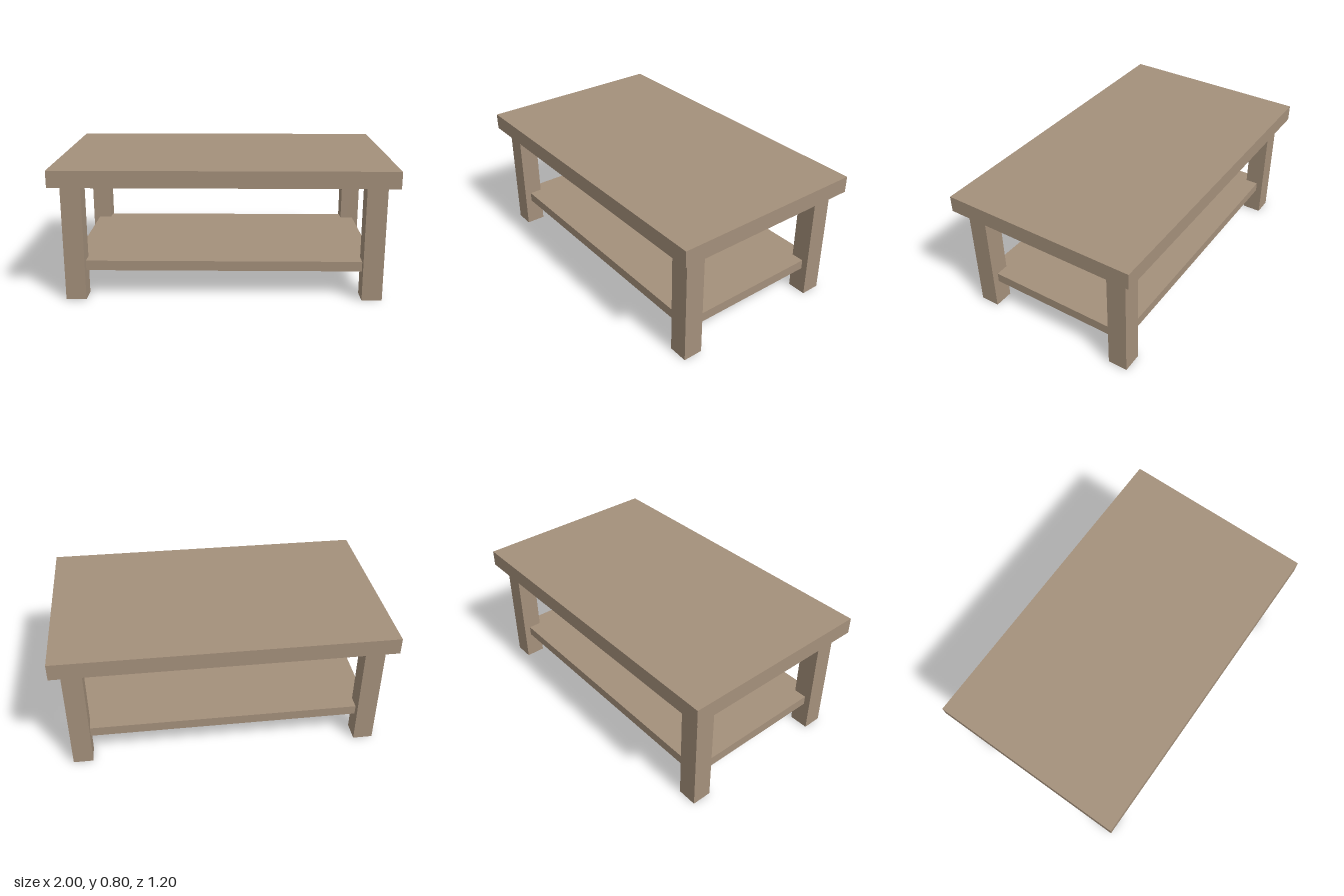
import * as THREE from 'three';

export function createModel() {
  const group = new THREE.Group();
  const wood = new THREE.MeshStandardMaterial({ color: 0xa4907b });
  wood.name = 'wood';

  // Box centred on x and z, spanning from bottom to top
  const box = (name, width, depth, bottom, top, x = 0, z = 0) => {
    const mesh = new THREE.Mesh(new THREE.BoxGeometry(width, top - bottom, depth), wood);
    mesh.name = name;
    mesh.position.set(x, (bottom + top) / 2, z);
    group.add(mesh);
  };

  box('tableTop', 2, 1.2, 0.7, 0.8);

  // Lower shelf, its corners let into the legs
  box('shelf', 1.8, 1.0, 0.17, 0.23);

  // Four square legs
  for (const [side, x] of [['Left', 0.88], ['Right', -0.88]]) {
    for (const [end, z] of [['front', 0.48], ['back', -0.48]]) {
      box(`${end}${side}Leg`, 0.12, 0.12, 0, 0.7, x, z);
    }
  }

  return group;
}
